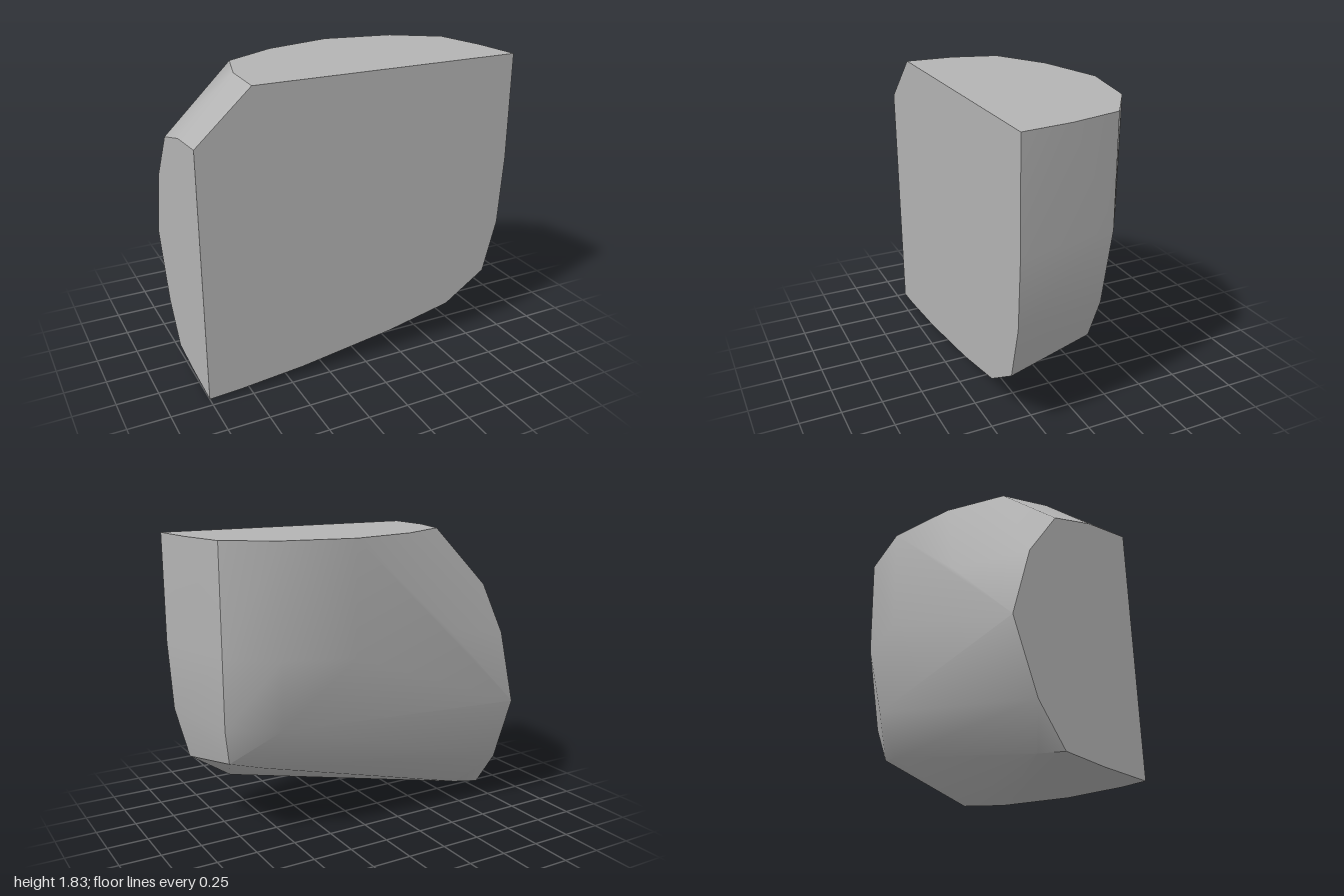
import * as THREE from 'three';
import { ConvexGeometry } from 'three/addons/geometries/ConvexGeometry.js';
import { toCreasedNormals } from 'three/addons/utils/BufferGeometryUtils.js';

const FRONT = 0.44, TOP = 1.83, SIDE = -1;

// flat front face, as x, y
const frontOutline = [
  [-1, 0], [-0.82, 0.01], [-0.4, 0.05], [0.2, 0.14], [0.62, 0.23], [0.89, 0.41],
  [0.975, 0.74], [1, 1.17], [1, TOP], [-0.67, TOP], [-1, 1.53],
];
// flat top face, as x, z
const topOutline = [
  [-0.66, 0.14], [-0.58, -0.14], [-0.25, -0.33], [0.18, -0.44],
  [0.61, -0.36], [0.89, -0.17], [0.965, 0.14],
];
// flat right face, as y, z
const sideOutline = [
  [1.51, 0.16], [1.44, -0.11], [1.15, -0.31], [0.72, -0.44],
  [0.29, -0.29], [0.05, -0.12], [0.02, 0.14],
];
// edge between the left panel and the back
const leftEdge = [[0.89, 1.17, -0.17], [0.87, 0.73, -0.12], [0.83, 0.51, -0.07]];
// lower edge and swell of the rounded back
const backSwell = [
  [0.62, 0.46, -0.12], [0.61, 1.17, -0.355], [0.58, 0.73, -0.275],
  [0.18, 1.15, -0.44], [-0.47, 1.25, -0.44], [-0.8, 0.09, -0.135],
];

export function createModel() {
  const group = new THREE.Group();
  group.name = 'roundedBlock';

  const grey = new THREE.MeshStandardMaterial({ color: 0xb4b4b4 });
  grey.name = 'grey';

  const points = [
    ...frontOutline.map(([x, y]) => [x, y, FRONT]),
    ...topOutline.map(([x, z]) => [x, TOP, z]),
    ...sideOutline.map(([y, z]) => [SIDE, y, z]),
    ...leftEdge,
    ...backSwell,
  ].map((p) => new THREE.Vector3(...p));

  // smooth back and underside, crisp flat faces
  const block = new THREE.Mesh(toCreasedNormals(new ConvexGeometry(points), 0.7), grey);
  block.name = 'block';
  group.add(block);
  return group;
}
